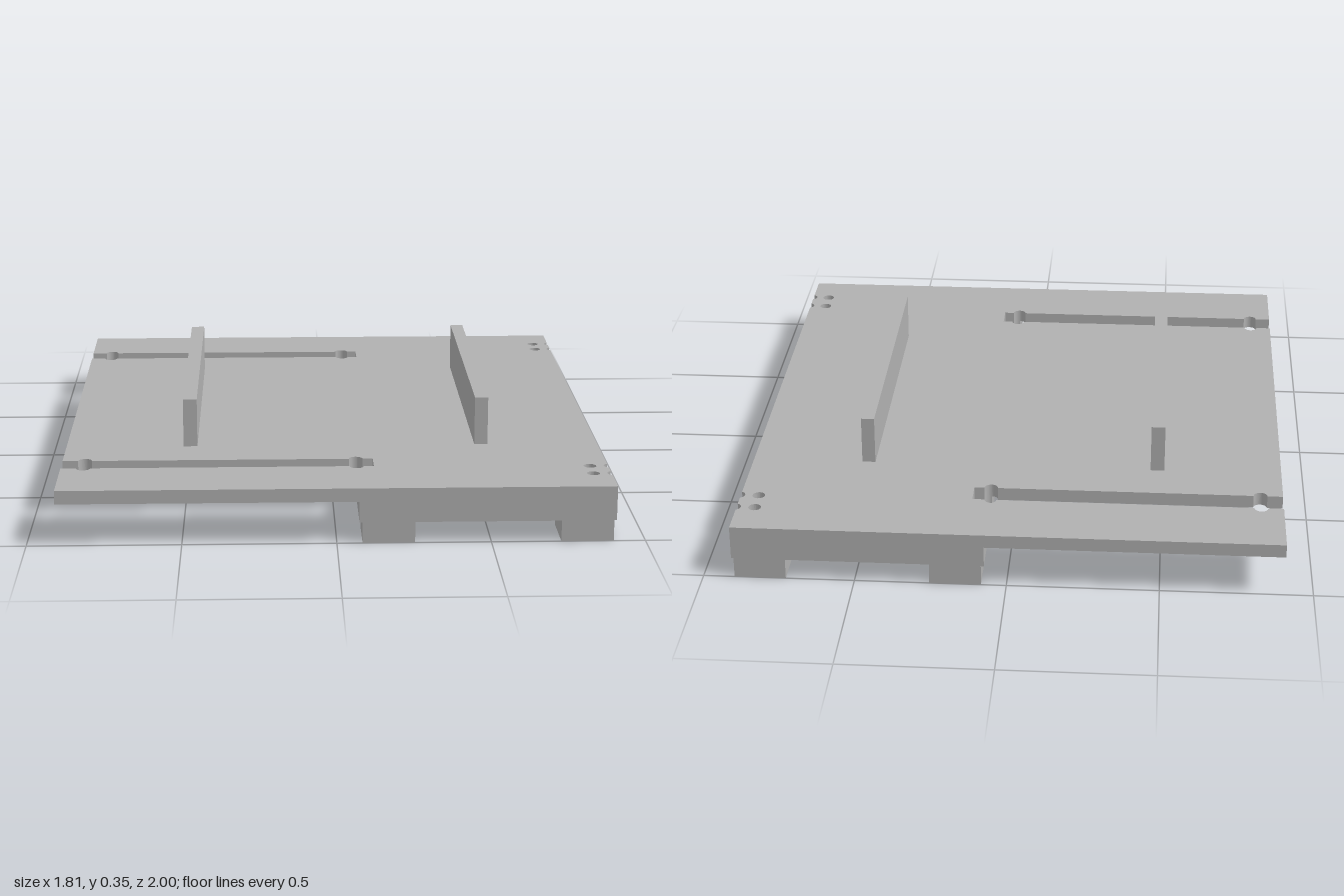
import * as THREE from 'three';

const X = 0.905, Z = 1, STEP = 0.073;      // plate half sizes, start of the thick half
const TOP = 0.185, THIN = 0.14, POCKET = 0.107, BASE = 0.07;
const SLOT = [0.677, 0.759], RELIEF = 0.023;
const HOLES = [0.778, 0.86], HOLE_R = 0.021, HOLE_X = 0.845, EDGE_X = 0.912;

// Right edge with half-open drill holes, travelling towards +z
function drilledEdge(s) {
  const a = Math.acos((EDGE_X - X) / HOLE_R);
  for (const z of [-HOLES[1], -HOLES[0], HOLES[0], HOLES[1]]) {
    s.absarc(EDGE_X, z, HOLE_R, Math.PI + a, Math.PI - a, true);
  }
}

// Right edge with strap pockets, travelling towards +z
function pocketEdge(s) {
  for (const [a, b] of [[-0.915, -0.73], [0.73, 0.915]]) {
    s.lineTo(X, a);
    s.lineTo(0.82, a);
    s.lineTo(0.82, b);
    s.lineTo(X, b);
  }
}

// Long slots with round corner reliefs, open at the left edge
function slottedEdge(s) {
  for (const [hi, lo] of [[SLOT[1], SLOT[0]], [-SLOT[0], -SLOT[1]]]) {
    s.lineTo(-X, hi);
    for (const x of [-0.83, STEP]) s.absarc(x, hi, RELIEF, Math.PI, 0, true);
    s.lineTo(0.13, hi);
    s.lineTo(0.13, lo);
    for (const x of [STEP, -0.83]) s.absarc(x, lo, RELIEF, 0, -Math.PI, true);
    s.lineTo(-X, lo);
  }
}

// Step face, bitten by the slot reliefs
function stepEdge(s) {
  for (const z of [SLOT[1], SLOT[0], -SLOT[0], -SLOT[1]]) {
    s.absarc(STEP, z, RELIEF, Math.PI / 2, -Math.PI / 2, true);
  }
}

function layer(left, rightEdge, leftEdge, drilled) {
  const s = new THREE.Shape();
  s.moveTo(left, -Z);
  s.lineTo(X, -Z);
  rightEdge(s);
  s.lineTo(X, Z);
  s.lineTo(left, Z);
  leftEdge(s);
  s.lineTo(left, -Z);
  if (drilled) {
    for (const z of HOLES) for (const k of [-1, 1]) {
      s.holes.push(new THREE.Path().absarc(HOLE_X, k * z, HOLE_R, 0, Math.PI * 2, true));
    }
  }
  return s;
}

export function createModel() {
  const model = new THREE.Group();
  model.name = 'slottedTray';
  const grey = new THREE.MeshStandardMaterial({ color: 0xb0b0b0 });
  grey.name = 'grey';

  function add(name, geometry) {
    const mesh = new THREE.Mesh(geometry, grey);
    mesh.name = name;
    model.add(mesh);
  }
  function slab(name, shape, bottom, top) {
    const g = new THREE.ExtrudeGeometry(shape, { depth: top - bottom, bevelEnabled: false, curveSegments: 12 });
    add(name, g.rotateX(Math.PI / 2).translate(0, top, 0));
  }
  function block(name, x0, x1, y0, y1, z0, z1) {
    const g = new THREE.BoxGeometry(x1 - x0, y1 - y0, z1 - z0);
    add(name, g.translate((x0 + x1) / 2, (y0 + y1) / 2, (z0 + z1) / 2));
  }

  // Plate and the thick half beneath it
  slab('plate', layer(-X, drilledEdge, slottedEdge, true), THIN, TOP);
  slab('thickHalf', layer(STEP, drilledEdge, stepEdge, true), POCKET, THIN);
  slab('pocketLayer', layer(STEP, pocketEdge, stepEdge, false), BASE, POCKET);

  // Upright ribs
  block('leftRib', 0.485, 0.53, TOP, 0.35, -0.517, 0.517);
  block('rightRib', -0.507, -0.46, TOP, 0.35, -0.517, 0.517);

  // Feet
  for (const [z0, z1, end] of [[0.83, 1, 'front'], [-1, -0.83, 'back']]) {
    block(end + 'InnerFoot', 0.083, 0.253, 0, BASE, z0, z1);
    block(end + 'OuterFoot', 0.727, 0.897, 0, BASE, z0, z1);
  }
  return model;
}
